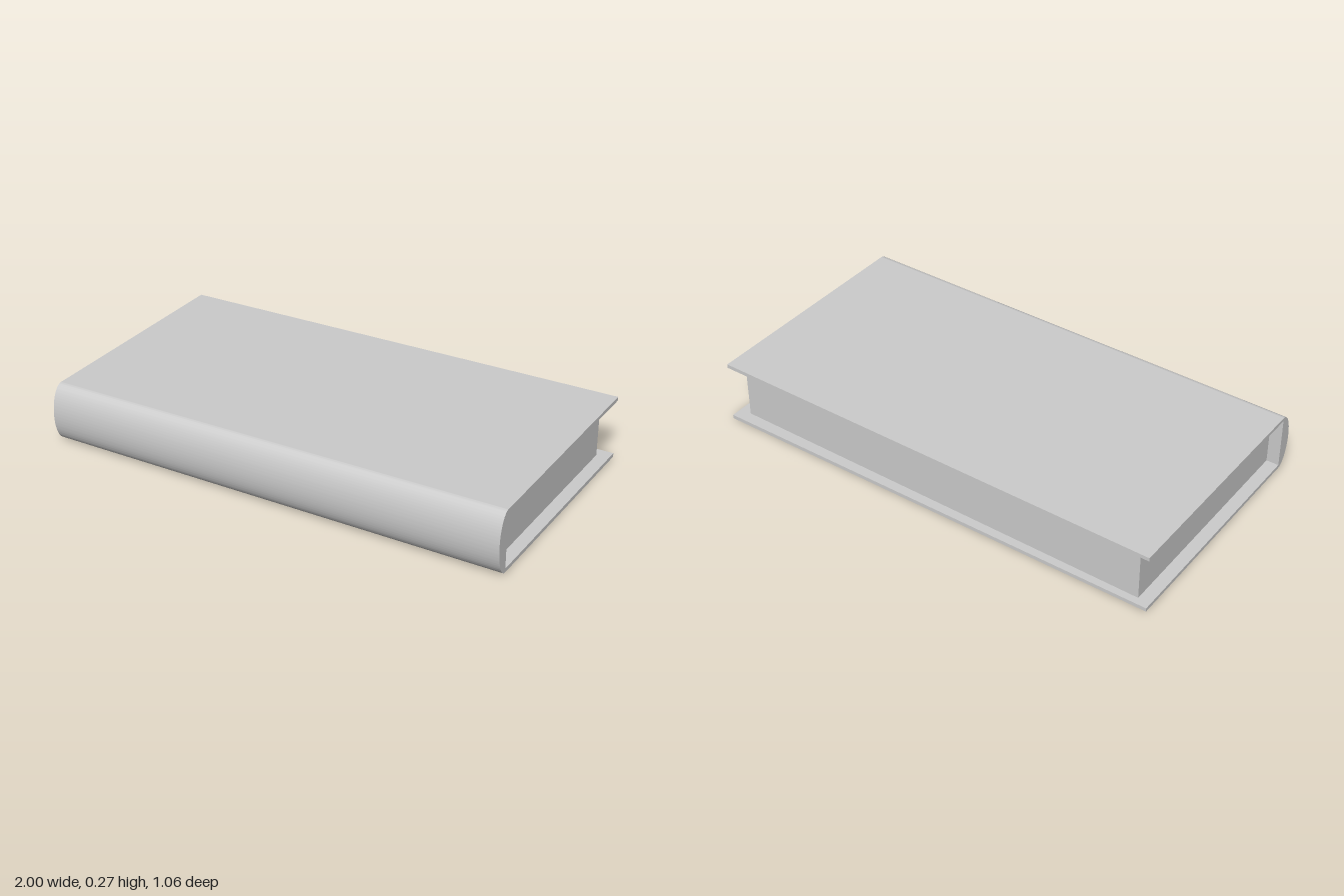
import * as THREE from 'three';
import { toCreasedNormals } from 'three/addons/utils/BufferGeometryUtils.js';

const HEIGHT = 0.265;      // nominal thickness of the closed book
const BOARD = 0.016;       // thickness of a cover board
const HINGE = 0.47;        // z where the boards meet the spine
const FORE = -0.53;        // z of the boards' open edge

// The book lies slightly uneven: the lower face tips along z, the upper one along x.
function settle(geometry) {
  const p = geometry.attributes.position;
  for (let i = 0; i < p.count; i++) {
    const low = 0.0045 + 0.0075 * p.getZ(i);
    const high = 0.2655 + 0.0075 * p.getX(i);
    p.setY(i, THREE.MathUtils.lerp(low, high, p.getY(i) / HEIGHT));
  }
  return toCreasedNormals(geometry, 0.6);
}

// Box given by its half length and its y and z limits
function slab(halfX, y0, y1, z0, z1) {
  const g = new THREE.BoxGeometry(halfX * 2, y1 - y0, z1 - z0);
  return g.translate(0, (y0 + y1) / 2, (z0 + z1) / 2);
}

export function createModel() {
  const book = new THREE.Group();
  book.name = 'book';
  const material = new THREE.MeshStandardMaterial({ color: 0xcccccc });
  const add = (name, geometry) => {
    const mesh = new THREE.Mesh(settle(geometry), material);
    mesh.name = name;
    book.add(mesh);
  };

  // Cover boards
  add('lowerCover', slab(1, 0, BOARD, FORE, HINGE));
  add('upperCover', slab(1, HEIGHT - BOARD, HEIGHT, FORE, HINGE));

  // Page block, its open edge cut a little askew
  const pages = slab(0.947, BOARD, HEIGHT - BOARD, -0.49, HINGE);
  const p = pages.attributes.position;
  for (let i = 0; i < p.count; i++) {
    if (p.getZ(i) < 0) p.setZ(i, -0.49 + 0.01 * p.getX(i));
  }
  add('pages', pages);

  // Rounded spine: half an ellipse drawn in (z, y) and run along x
  const profile = new THREE.Shape();
  profile.absellipse(HINGE, HEIGHT / 2, 0.06, HEIGHT / 2, -Math.PI / 2, Math.PI / 2);
  profile.closePath();
  const spine = new THREE.ExtrudeGeometry(profile, { depth: 2, bevelEnabled: false, curveSegments: 32 });
  spine.translate(0, 0, -1).rotateY(-Math.PI / 2);
  add('spine', spine);

  return book;
}
